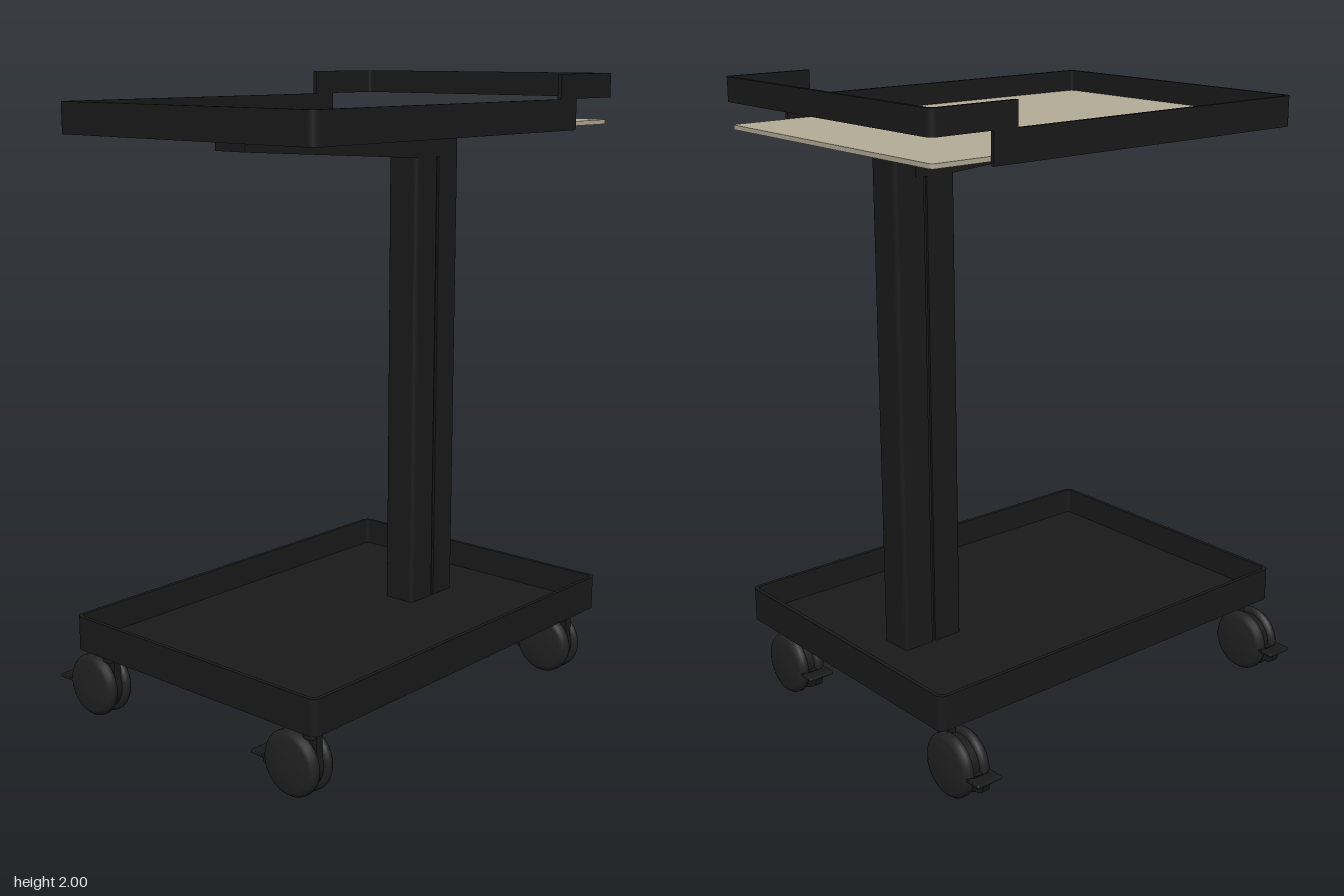
import * as THREE from 'three';
import { RoundedBoxGeometry } from 'three/addons/geometries/RoundedBoxGeometry.js';

const ZC = 0.06; // centre line of trays and column
const W = 1.41, D = 1.01, R = 0.025, T = 0.013;

const black = new THREE.MeshStandardMaterial({ color: 0x1a1a1a });
const wheelGrey = new THREE.MeshStandardMaterial({ color: 0x222222 });
const wood = new THREE.MeshStandardMaterial({ color: 0xb5ad98 });

function add(parent, name, geometry, material, x = 0, y = 0, z = 0) {
  const mesh = new THREE.Mesh(geometry, material);
  mesh.name = name;
  mesh.position.set(x, y, z);
  parent.add(mesh);
  return mesh;
}

// Rounded rectangle in plan, centred on the origin
function roundRect(target, w, d, r) {
  const x = w / 2, y = d / 2;
  target.moveTo(-x + r, -y);
  target.lineTo(x - r, -y);
  target.absarc(x - r, -y + r, r, -Math.PI / 2, 0);
  target.lineTo(x, y - r);
  target.absarc(x - r, y - r, r, 0, Math.PI / 2);
  target.lineTo(-x + r, y);
  target.absarc(-x + r, y - r, r, Math.PI / 2, Math.PI);
  target.lineTo(-x, -y + r);
  target.absarc(-x + r, -y + r, r, Math.PI, Math.PI * 1.5);
  return target;
}

// Plan shape raised upwards
function raise(shape, height) {
  return new THREE.ExtrudeGeometry(shape, { depth: height, bevelEnabled: false, curveSegments: 6 })
    .rotateX(-Math.PI / 2);
}

// U-shaped band, closed at x = 0 and open at x = length
function uBand(length, height) {
  const s = new THREE.Shape(), d = D / 2, r = R - T;
  s.moveTo(length, -d);
  s.lineTo(length, -d + T);
  s.lineTo(R, -d + T);
  s.absarc(R, -d + R, r, Math.PI * 1.5, Math.PI, true);
  s.lineTo(T, d - R);
  s.absarc(R, d - R, r, Math.PI, Math.PI / 2, true);
  s.lineTo(length, d - T);
  s.lineTo(length, d);
  s.lineTo(R, d);
  s.absarc(R, d - R, R, Math.PI / 2, Math.PI);
  s.lineTo(0, -d + R);
  s.absarc(R, -d + R, R, Math.PI, Math.PI * 1.5);
  return raise(s, height);
}

// Profile given as [z, y] pairs, extruded across x and centred
function acrossX(points, width) {
  const s = new THREE.Shape(points.map(([z, y]) => new THREE.Vector2(-z, y)));
  return new THREE.ExtrudeGeometry(s, { depth: width, bevelEnabled: false })
    .translate(0, 0, -width / 2).rotateY(Math.PI / 2);
}

function makeCaster() {
  const g = new THREE.Group();
  g.name = 'caster';
  // Twin wheels with domed outer faces
  const profile = [[0, 0], [0.085, 0], [0.1, 0.006], [0.1, 0.02], [0.093, 0.03], [0.08, 0.036], [0.03, 0.039], [0, 0.039]]
    .map(([r, h]) => new THREE.Vector2(r, h));
  for (const side of [-1, 1]) {
    const wheel = add(g, 'wheel', new THREE.LatheGeometry(profile, 32), wheelGrey, side * 0.013, 0.1, 0);
    wheel.rotation.z = -side * Math.PI / 2;
  }
  // Fork body between the wheels
  const hub = add(g, 'casterBody', new THREE.CylinderGeometry(0.085, 0.085, 0.028, 24), black, 0, 0.1, 0);
  hub.rotation.z = Math.PI / 2;
  add(g, 'casterNeck', new THREE.BoxGeometry(0.026, 0.1, 0.054), black, 0, 0.16, 0.053);
  add(g, 'stem', new THREE.CylinderGeometry(0.028, 0.028, 0.045, 20), black, 0, 0.21, 0.053);
  // Brake pedal with curved support
  add(g, 'brakePedal', new RoundedBoxGeometry(0.09, 0.012, 0.045, 2, 0.005), black, 0, 0.096, -0.126);
  add(g, 'brakeArm', acrossX([[-0.07, 0.1], [-0.07, 0.05], [-0.11, 0.05], [-0.127, 0.06], [-0.135, 0.092],
    [-0.122, 0.092], [-0.115, 0.075], [-0.1, 0.07], [-0.1, 0.1]], 0.026), black);
  for (const x of [-0.035, 0.035])
    add(g, 'pedalRib', new THREE.BoxGeometry(0.016, 0.01, 0.06), black, x, 0.096, -0.1);
  return g;
}

export function createModel() {
  const model = new THREE.Group();
  model.name = 'rollingTable';

  // Base tray: floor and rim
  const base = new THREE.Group();
  base.name = 'baseTray';
  model.add(base);
  add(base, 'baseFloor', raise(roundRect(new THREE.Shape(), W - 0.01, D - 0.01, R), 0.02), black, 0, 0.231, ZC);
  const ring = roundRect(new THREE.Shape(), W, D, R);
  ring.holes.push(roundRect(new THREE.Path(), W - 2 * T, D - 2 * T, R - T));
  add(base, 'baseRim', raise(ring, 0.11), black, 0, 0.23, ZC);

  // Casters at the four corners
  for (const x of [-0.628, 0.628]) for (const z of [0.433, -0.423]) {
    const caster = makeCaster();
    caster.position.set(x, 0, z);
    model.add(caster);
  }

  // Column: rounded profile with a shallow groove down each broad face
  const c = new THREE.Shape(), a = 0.11, b = 0.058, k = 0.015, gw = 0.006, gd = 0.008;
  c.moveTo(-a + k, -b);
  c.lineTo(-gw, -b); c.lineTo(-gw, -b + gd); c.lineTo(gw, -b + gd); c.lineTo(gw, -b);
  c.lineTo(a - k, -b);
  c.absarc(a - k, -b + k, k, -Math.PI / 2, 0);
  c.lineTo(a, b - k);
  c.absarc(a - k, b - k, k, 0, Math.PI / 2);
  c.lineTo(gw, b); c.lineTo(gw, b - gd); c.lineTo(-gw, b - gd); c.lineTo(-gw, b);
  c.lineTo(-a + k, b);
  c.absarc(-a + k, b - k, k, Math.PI / 2, Math.PI);
  c.lineTo(-a, -b + k);
  c.absarc(-a + k, -b + k, k, Math.PI, Math.PI * 1.5);
  add(model, 'column', raise(c, 1.583), black, 0.385, 0.25, ZC);

  // Tapered support arm under the top
  const arm = new THREE.Shape([[-0.5, 1.79], [0.28, 1.736], [0.42, 1.736], [0.42, 1.833], [-0.5, 1.833]]
    .map(([x, y]) => new THREE.Vector2(x, y)));
  add(model, 'supportArm', new THREE.ExtrudeGeometry(arm, { depth: 0.12, bevelEnabled: false }), black, 0, 0, ZC - 0.06);

  // Mounting plate with screws
  add(model, 'mountingPlate', new THREE.BoxGeometry(0.77, 0.012, 0.42), black, -0.045, 1.836, ZC);
  for (const x of [-0.36, -0.045, 0.27]) for (const side of [-1, 1])
    add(model, 'screw', new THREE.CylinderGeometry(0.01, 0.01, 0.008, 12), wheelGrey, x, 1.828, ZC + side * 0.15);

  // Table top board
  add(model, 'tableTop', raise(roundRect(new THREE.Shape(), W - 2 * T, D - 2 * T, R - T), 0.014), wood, 0, 1.842, ZC);

  // Top rim, open at the handle end, and the raised handle
  add(model, 'topRim', uBand(1.2, 0.095), black, -W / 2, 1.83, ZC);
  add(model, 'handle', uBand(0.295, 0.075), black, W / 2, 1.925, ZC).rotation.y = Math.PI;

  return model;
}
